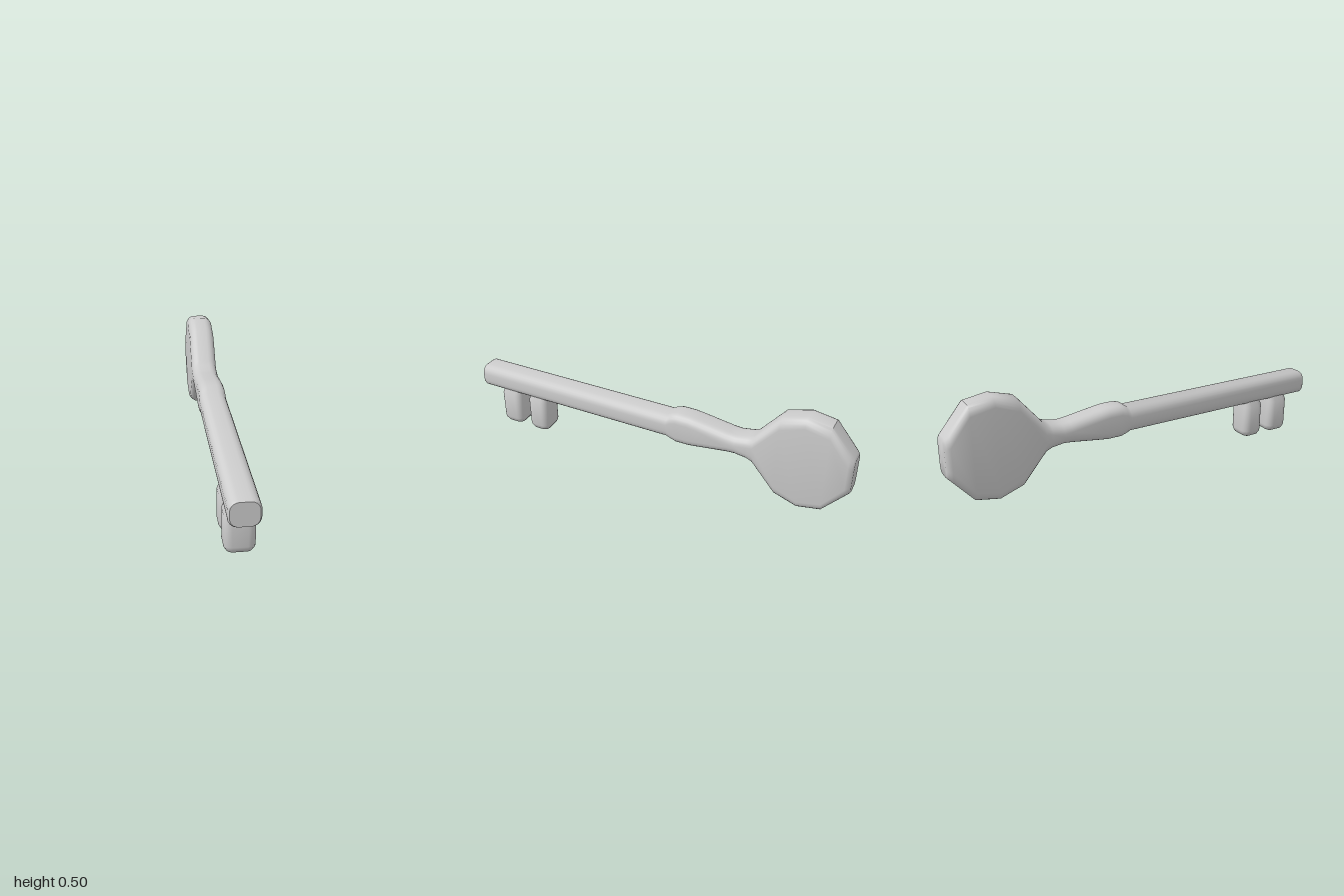
import * as THREE from 'three';
import { toCreasedNormals } from 'three/addons/utils/BufferGeometryUtils.js';

const W = 0.067; // half thickness of the key
const CORNER_STEPS = 5;

// Rounded-rectangle ring in x and y, counter-clockwise seen from +z
function ring([z, y0, y1, hw = W, rx = 0.042, ry = rx]) {
  const points = [];
  const corners = [[1, 1], [-1, 1], [-1, -1], [1, -1]];
  corners.forEach(([sx, sy], q) => {
    const cx = sx * (hw - rx);
    const cy = sy > 0 ? y1 - ry : y0 + ry;
    for (let i = 0; i <= CORNER_STEPS; i++) {
      const a = (q + i / CORNER_STEPS) * Math.PI / 2;
      points.push([cx + rx * Math.cos(a), cy + ry * Math.sin(a), z]);
    }
  });
  return points;
}

// Skin through sections ordered from high z to low z, closed at both ends
function loft(sections) {
  const rings = sections.map(ring);
  const n = rings[0].length;
  const positions = rings.flat(2);
  const index = [];
  for (let k = 0; k < rings.length - 1; k++) {
    for (let i = 0; i < n; i++) {
      const a = k * n + i, b = k * n + (i + 1) % n;
      index.push(a, a + n, b, b, a + n, b + n);
    }
  }
  const last = (rings.length - 1) * n;
  const centre = positions.length / 3;
  for (const s of [sections[0], sections[sections.length - 1]]) {
    positions.push(0, (s[1] + s[2]) / 2, s[0]);
  }
  for (let i = 0; i < n; i++) {
    const j = (i + 1) % n;
    index.push(centre, i, j, centre + 1, last + j, last + i);
  }
  const geometry = new THREE.BufferGeometry();
  geometry.setAttribute('position', new THREE.Float32BufferAttribute(positions, 3));
  geometry.setIndex(index);
  return geometry;
}

export function createModel() {
  const key = new THREE.Group();
  key.name = 'key';
  const material = new THREE.MeshStandardMaterial({ color: 0xcccccc });

  function add(name, geometry) {
    const mesh = new THREE.Mesh(toCreasedNormals(geometry, 0.7), material);
    mesh.name = name;
    key.add(mesh);
  }

  // Shaft, collar, neck and bow: [z, bottom, top, half width, corner radii]
  add('shaftAndBow', loft([
    [1, 0.2, 0.308, 0.06, 0.037],
    [0.99, 0.194, 0.314],
    [-0.085, 0.194, 0.314],
    [-0.105, 0.185, 0.328],
    [-0.135, 0.175, 0.337],
    [-0.2, 0.175, 0.337],
    [-0.24, 0.18, 0.332],
    [-0.4, 0.203, 0.308],
    [-0.44, 0.206, 0.305],
    [-0.5, 0.198, 0.315],
    [-0.53, 0.184, 0.328, W, 0.042, 0.05],
    [-0.65, 0.042, 0.472, W, 0.042, 0.053],
    [-0.765, 0.004, 0.505, W, 0.042, 0.044],
    [-0.88, 0.027, 0.487, W, 0.042, 0.048],
    [-0.975, 0.138, 0.373, W, 0.042, 0.058],
    [-0.992, 0.157, 0.354, 0.06, 0.036, 0.05],
    [-1, 0.167, 0.343, 0.046, 0.024, 0.035],
  ]));

  // Two teeth, lofted upwards from their rounded lower ends
  for (const [name, back, front] of [['frontTooth', 0.773, 0.895], ['rearTooth', 0.613, 0.728]]) {
    const section = (y, inset, hw, r) => [-y, back + inset, front - inset, hw, r];
    const tooth = loft([
      section(0.004, 0.027, 0.04, 0.016),
      section(0.012, 0.011, 0.055, 0.027),
      section(0.03, 0.001, 0.065, 0.034),
      section(0.04, 0, W, 0.035),
      section(0.18, 0, W, 0.035),
      section(0.2, 0.004, 0.056, 0.032),
      section(0.25, 0.004, 0.05, 0.03),
    ]);
    tooth.rotateX(Math.PI / 2);
    add(name, tooth);
  }
  return key;
}
